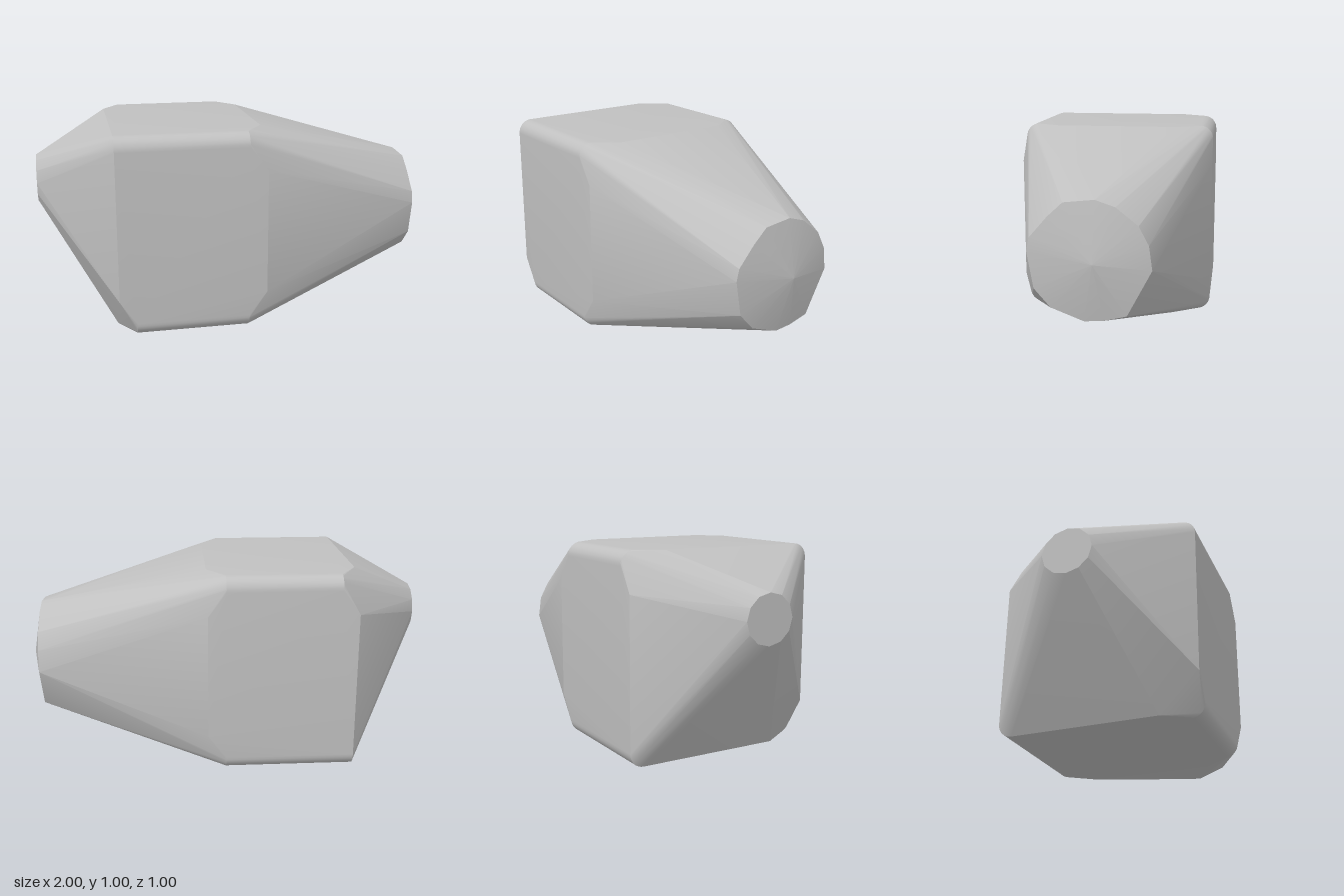
import * as THREE from 'three';
import { ConvexGeometry } from 'three/addons/geometries/ConvexGeometry.js';
import { toCreasedNormals } from 'three/addons/utils/BufferGeometryUtils.js';

const MID = 0.5;      // height of the body axis
const HALF = 0.5;     // half width of the square body
const R = 0.07;       // radius of the long rounded edges
const STEPS = 8;

// Rounded corner of the square section at x; sy and sz pick the quadrant
function cornerArc(x, sy, sz) {
  const points = [];
  for (let i = 0; i <= STEPS; i++) {
    const a = (i / STEPS) * Math.PI / 2;
    points.push(new THREE.Vector3(
      x,
      MID + sy * (HALF - R + R * Math.sin(a)),
      sz * (HALF - R + R * Math.cos(a))
    ));
  }
  return points;
}

// Two points where a corner bevel meets the neighbouring flat faces
function bevelEnds(x, sy, sz, along) {
  return [
    new THREE.Vector3(x, MID + sy * along, sz * HALF),
    new THREE.Vector3(x, MID + sy * HALF, sz * along),
  ];
}

export function createModel() {
  const gray = new THREE.MeshStandardMaterial({ color: 0xc0c0c0 });
  gray.name = 'plain gray';
  const points = [];

  // Square body: every corner is bevelled toward the long nose,
  // and one diagonal pair is bevelled toward the short end
  for (const sy of [-1, 1]) {
    for (const sz of [-1, 1]) {
      points.push(...cornerArc(0.01, sy, sz), ...bevelEnds(0.1, sy, sz, 0.31));
      if (sy === sz) {
        points.push(...cornerArc(-0.635, sy, sz));
      } else {
        points.push(...cornerArc(-0.55, sy, sz), ...bevelEnds(-0.635, sy, sz, 0.31));
      }
    }
  }

  // Irregular round end of the long nose, as [z, y], with a shallow tip
  const noseRing = [
    [0.11, 0.76], [-0.03, 0.775], [-0.12, 0.745], [-0.22, 0.665], [-0.265, 0.58],
    [-0.28, 0.47], [-0.17, 0.26], [-0.07, 0.235], [0.02, 0.228], [0.17, 0.285],
    [0.245, 0.37], [0.275, 0.54], [0.262, 0.6], [0.18, 0.695],
  ];
  for (const [z, y] of noseRing) points.push(new THREE.Vector3(0.948, y, z));
  points.push(new THREE.Vector3(1, MID, -0.025));

  // Small round end on the short side, set above the axis
  for (let i = 0; i < 12; i++) {
    const a = (i / 12) * Math.PI * 2;
    points.push(new THREE.Vector3(-1, 0.71 + 0.12 * Math.sin(a), 0.125 * Math.cos(a)));
  }

  const body = new THREE.Mesh(toCreasedNormals(new ConvexGeometry(points), 0.25), gray);
  body.name = 'taperedBody';

  const group = new THREE.Group();
  group.name = 'taperedBlock';
  group.add(body);
  return group;
}
